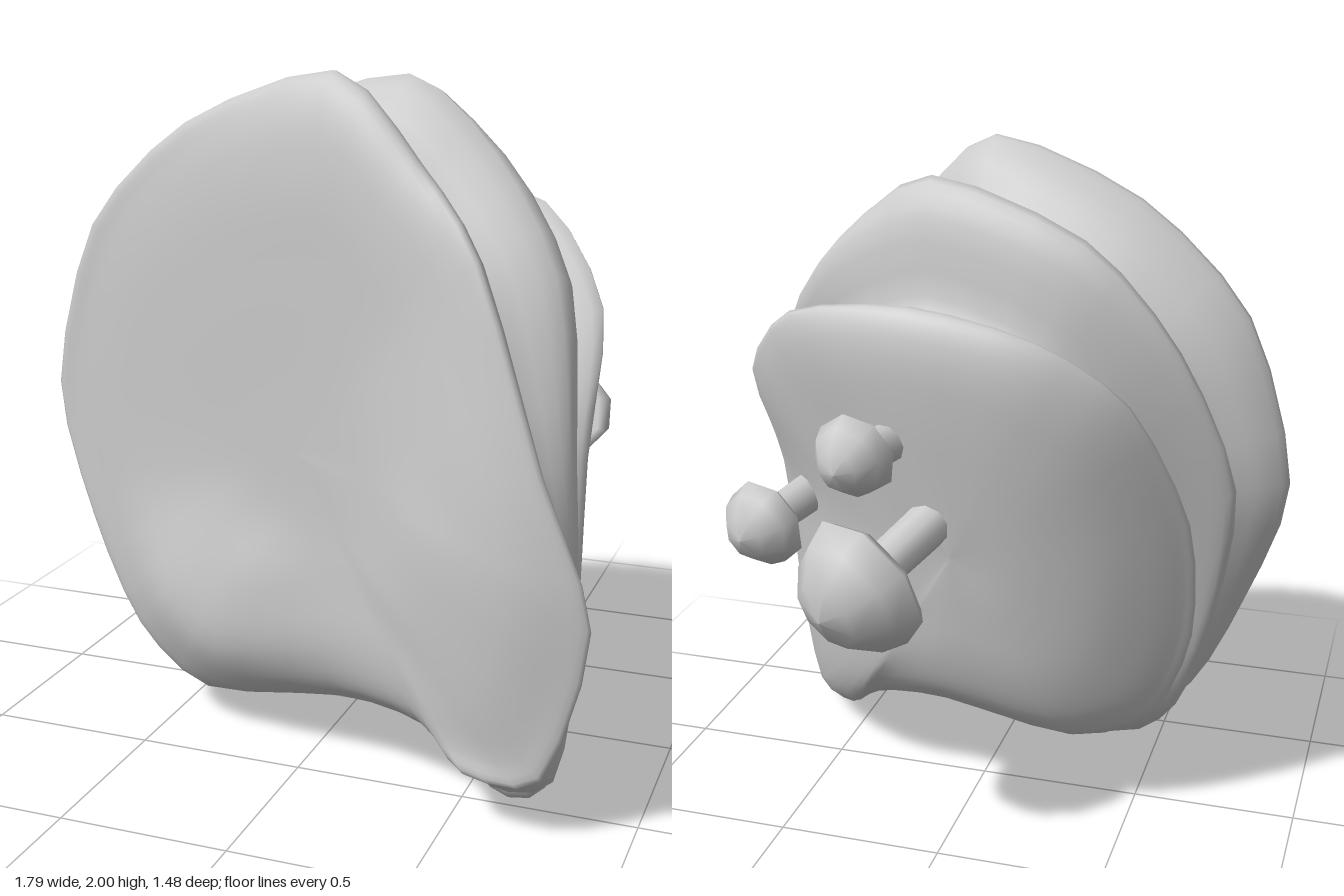
import * as THREE from 'three';

const V = (x, y, z) => new THREE.Vector3(x, y, z);
const toPoints = (a) => a.map((p) => V(...p));

// Three ridge outlines, each starting at the crown and running over -x, the base and +x
const frontRim = toPoints([
  [0.08, 2, 0.4], [-0.4, 1.84, 0.32], [-0.75, 1.52, 0.25], [-0.9, 1.02, 0.22], [-0.78, 0.61, 0.26],
  [-0.62, 0.28, 0.28], [-0.38, 0.11, 0.3], [0.1, 0.2, 0.4], [0.4, 0.24, 0.57], [0.55, 0.17, 0.68],
  [0.77, 0.19, 0.69], [0.89, 0.63, 0.69], [0.75, 1.02, 0.69], [0.55, 1.55, 0.61], [0.35, 1.78, 0.5]]);
const middleRim = toPoints([
  [0.12, 1.96, -0.12], [-0.35, 1.82, -0.21], [-0.62, 1.52, -0.19], [-0.78, 1.1, -0.1], [-0.72, 0.65, 0.02],
  [-0.6, 0.28, 0.12], [-0.4, 0.12, 0.18], [0.1, 0.22, 0.2], [0.4, 0.14, 0.4], [0.58, 0.07, 0.53],
  [0.77, 0.12, 0.54], [0.82, 0.5, 0.52], [0.77, 0.98, 0.45], [0.66, 1.45, 0.22], [0.42, 1.76, 0.02]]);
const backRim = toPoints([
  [0.12, 1.64, -0.36], [-0.25, 1.57, -0.37], [-0.5, 1.38, -0.28], [-0.66, 1, -0.15], [-0.67, 0.62, -0.08],
  [-0.56, 0.34, -0.08], [-0.32, 0.25, -0.12], [0.08, 0.32, -0.12], [0.4, 0.17, 0.2], [0.57, 0.01, 0.44],
  [0.73, 0.05, 0.46], [0.79, 0.45, 0.43], [0.77, 0.95, 0.26], [0.74, 1.32, -0.02], [0.5, 1.58, -0.28]]);

// Groove depth at each station: deep at the crown, fading towards the base
const depth = [1, 1, 1, 0.9, 0.5, 0.2, 0, 0, 0, 0.1, 0.2, 0.25, 0.4, 0.8, 1];
const between = (a, b, t, amount) => a.map((p, i) => {
  const q = p.clone().lerp(b[i], t), s = 1 - amount * depth[i];
  return V(q.x * s, 0.85 + (q.y - 0.85) * s, q.z);
});

// Front and back faces as heights over x and y
const bump = (x, y, rx, ry, h) => h * Math.exp(-((x / rx) ** 2) - (y / ry) ** 2);
const frontFace = (x, y) => 0.48 + 0.27 * x + bump(x + 0.33, y - 0.42, 0.32, 0.24, 0.08) + bump(x - 0.54, y - 0.7, 0.26, 0.5, 0.09);
const backFace = (x, y) => -0.42 + 0.15 * (1.3 - y) + (0.55 - 0.5 * Math.max(0, y - 0.96)) * (x + 0.1) ** 2;

// Ring inside a rim: t moves it to the centre, ease blends its depth into the face
const inner = (rim, cy, face, [t, ease]) => rim.map((p) => {
  const x = p.x * (1 - t), y = THREE.MathUtils.lerp(p.y, cy, t);
  return V(x, y, THREE.MathUtils.lerp(p.z, face(x, y), ease));
});

function bodyGeometry() {
  const frontSteps = [[1, 1], [0.75, 1], [0.5, 1], [0.25, 0.95], [0.08, 0.6]];
  const backSteps = [[0.05, 0.4], [0.18, 0.78], [0.4, 0.97], [0.7, 1], [1, 1]];
  const loops = [
    ...frontSteps.map((s) => inner(frontRim, 0.95, frontFace, s)),
    frontRim,
    between(frontRim, middleRim, 0.2, 0.05),
    between(frontRim, middleRim, 0.48, 0.2),
    middleRim,
    between(middleRim, backRim, 0.33, 0),
    between(middleRim, backRim, 0.55, 0.2),
    backRim,
    ...backSteps.map((s) => inner(backRim, 0.9, backFace, s)),
  ];
  const around = 45, rows = (loops.length - 1) * 4;
  const rings = loops.map((l) => new THREE.CatmullRomCurve3(l, true, 'catmullrom', 0.4));
  const pos = new Float32Array((rows + 1) * around * 3), index = [];
  for (let c = 0; c < around; c++) {
    const strip = new THREE.CatmullRomCurve3(rings.map((r) => r.getPoint(c / around)));
    for (let r = 0; r <= rows; r++) {
      strip.getPoint(r / rows).toArray(pos, (r * around + c) * 3);
      if (r === rows) continue;
      const a = r * around + c, d = r * around + (c + 1) % around;
      if (r < rows - 1) index.push(a, a + around, d + around);
      else index.push(a, a + around, d);
      if (r > 0 && r < rows - 1) index.push(a, d + around, d);
    }
  }
  const g = new THREE.BufferGeometry();
  g.setAttribute('position', new THREE.BufferAttribute(pos, 3));
  g.setIndex(index);
  g.computeVertexNormals();
  return g;
}

const up = V(0, 1, 0);

// Mushroom: stem from root to the cap's rim centre, domed cap along its axis
function mushroom(name, root, centre, direction, radius, height, stemRadius, material) {
  const group = new THREE.Group();
  group.name = name;
  const axis = direction.normalize();
  const profile = [[0, 0.1], [0.35, 0.05], [0.85, -0.1], [1, 0.05], [0.86, 0.45], [0.5, 0.86], [0, 1]]
    .map(([r, h]) => new THREE.Vector2(r * radius, h * height));
  const cap = new THREE.Mesh(new THREE.LatheGeometry(profile, 8), material);
  cap.name = 'mushroomCap';
  cap.position.copy(centre);
  cap.quaternion.setFromUnitVectors(up, axis);
  const dir = centre.clone().addScaledVector(axis, height * 0.25).sub(root);
  const stem = new THREE.Mesh(new THREE.CylinderGeometry(stemRadius * 0.9, stemRadius, dir.length(), 10), material);
  stem.name = 'mushroomStem';
  stem.position.copy(root).addScaledVector(dir, 0.5);
  stem.quaternion.setFromUnitVectors(up, dir.normalize());
  group.add(cap, stem);
  return group;
}

export function createModel() {
  const model = new THREE.Group();
  const material = new THREE.MeshStandardMaterial({ color: 0xcccccc });

  // Ribbed, fan-shaped body
  const body = new THREE.Mesh(bodyGeometry(), material);
  body.name = 'ribbedBody';
  model.add(body);

  // Mushrooms growing from the back
  model.add(
    mushroom('largeMushroom', V(0.04, 1.02, -0.3), V(0.18, 0.89, -0.55), V(0.42, -0.35, -0.84), 0.215, 0.2, 0.07, material),
    mushroom('sideMushroom', V(0.53, 0.96, -0.11), V(0.59, 0.93, -0.3), V(0.3, -0.2, -0.93), 0.138, 0.13, 0.062, material),
    mushroom('upperMushroom', V(0.17, 1.24, -0.34), V(0.22, 1.25, -0.5), V(0.18, -0.2, -0.95), 0.125, 0.13, 0.06, material));
  return model;
}
